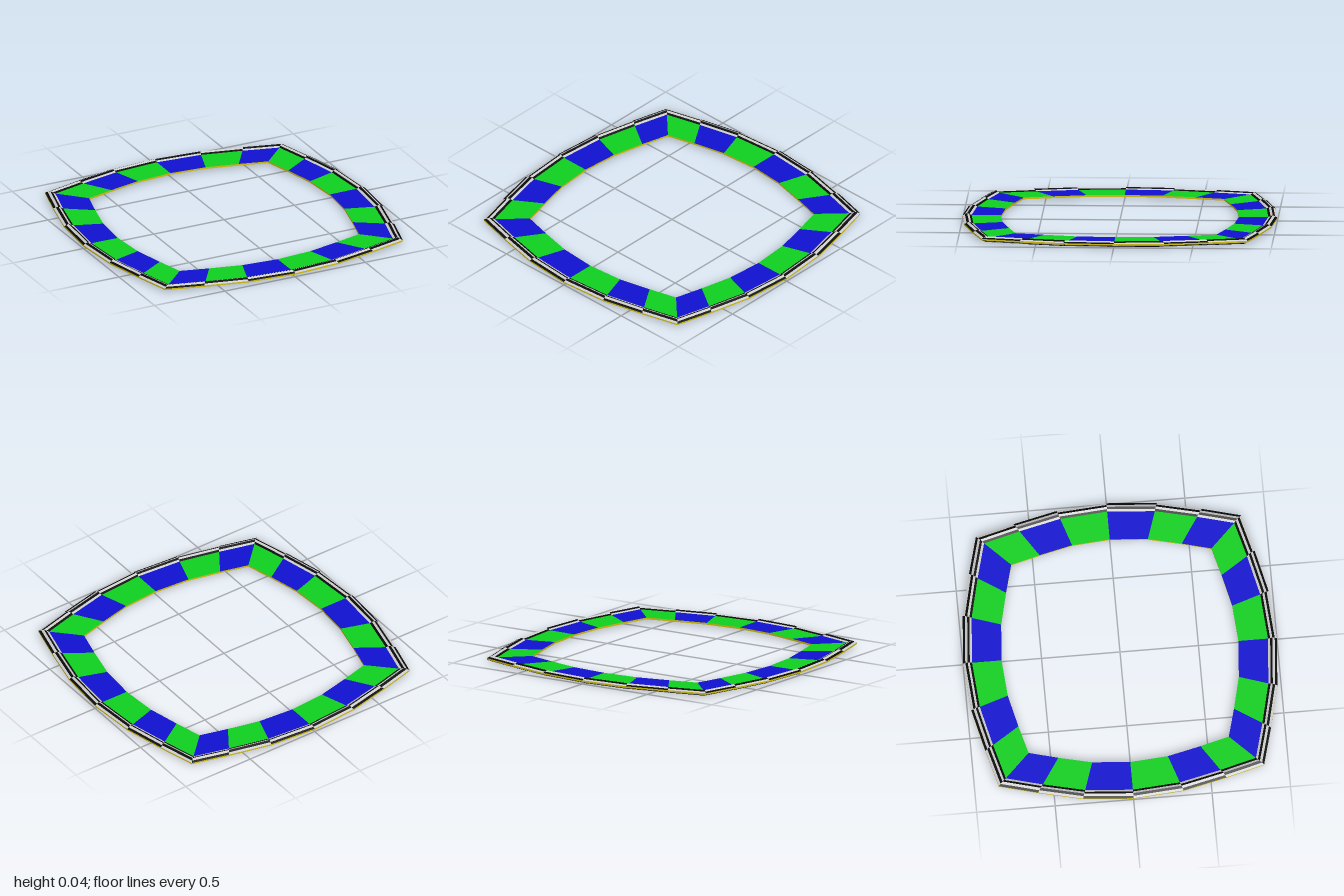
import * as THREE from 'three';

// One quarter of the outer outline as [x, z]; the rest follows by quarter turns.
const QUARTER = [[0, 1], [0.32, 0.975], [0.6, 0.91], [0.845, 0.845], [0.91, 0.6], [0.975, 0.32]];
const MID = 0.0185; // height of the ring's middle plane

function makeOutline() {
  const points = [];
  let quarter = QUARTER;
  for (let q = 0; q < 4; q++) {
    points.push(...quarter);
    quarter = quarter.map(([x, z]) => [z, -x]);
  }
  return points;
}

// Upper half of the cross-section: [scale of outline, height above the middle plane]
const UPPER = [[0.755, 0.006], [0.943, 0.007], [0.957, 0.0128], [0.971, 0.0185], [0.986, 0.0115], [1, 0.005]];
const PROFILE = [...UPPER, ...UPPER.slice().reverse().map(([r, y]) => [r, -y])];

// Flat quads of the chosen bands, on even or odd segments
function bandGeometry(outline, bands, parities) {
  const positions = [];
  const corner = (i, j) => {
    const [x, z] = outline[i % outline.length];
    const [r, y] = PROFILE[j % PROFILE.length];
    return [x * r, MID + y, z * r];
  };
  for (const j of bands) {
    for (let i = 0; i < outline.length; i++) {
      if (!parities.includes((i + j) % 2)) continue;
      const a = corner(i, j), b = corner(i, j + 1);
      const c = corner(i + 1, j + 1), d = corner(i + 1, j);
      positions.push(...a, ...b, ...c, ...a, ...c, ...d);
    }
  }
  const geometry = new THREE.BufferGeometry();
  geometry.setAttribute('position', new THREE.Float32BufferAttribute(positions, 3));
  geometry.computeVertexNormals();
  return geometry;
}

export function createModel() {
  const group = new THREE.Group();
  group.name = 'checkeredRing';
  const outline = makeOutline();
  const rim = [1, 2, 3, 4, 6, 7, 8, 9];
  const parts = [
    // wide top face
    ['topGreenTiles', [0], [0], 0x10d020],
    ['topBlueTiles', [0], [1], 0x1010d0],
    // raised checkered rim, above and below
    ['rimWhiteTiles', rim, [0], 0xcccccc],
    ['rimBlackTiles', rim, [1], 0x0a0a0a],
    // outer and inner edge strips
    ['edgeStrips', [5, 11], [0, 1], 0xd0c010],
    // wide underside
    ['undersideRedTiles', [10], [0], 0xd01020],
    ['undersideOrangeTiles', [10], [1], 0xc05010],
  ];
  for (const [name, bands, parities, color] of parts) {
    const material = new THREE.MeshStandardMaterial({ color, flatShading: true });
    const mesh = new THREE.Mesh(bandGeometry(outline, bands, parities), material);
    mesh.name = name;
    group.add(mesh);
  }
  return group;
}
